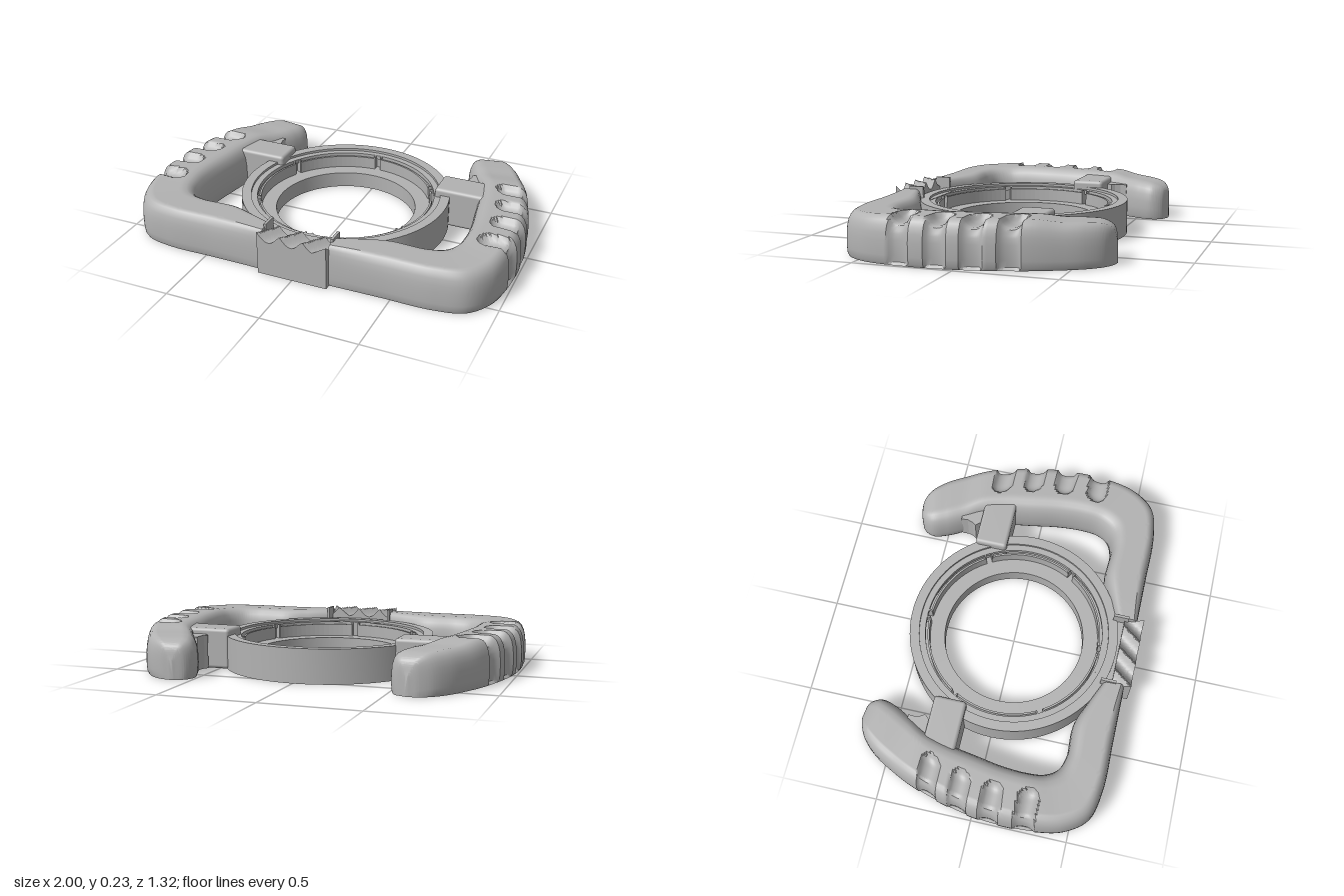
import * as THREE from 'three';
import { toCreasedNormals } from 'three/addons/utils/BufferGeometryUtils.js';
import { RoundedBoxGeometry } from 'three/addons/geometries/RoundedBoxGeometry.js';

const grey = new THREE.MeshStandardMaterial({ color: 0xb2b2b2 });
grey.name = 'plain grey';

// Handle stations: inner x, inner z, outer x, outer z, height
const STATIONS = [
  [0.18, 0.51, 0.18, 0.63, 0.22], [0.3, 0.455, 0.3, 0.63, 0.22], [0.42, 0.41, 0.46, 0.63, 0.22],
  [0.59, 0.41, 0.72, 0.628, 0.22], [0.67, 0.38, 0.87, 0.59, 0.22], [0.71, 0.32, 0.955, 0.48, 0.223],
  [0.722, 0.23, 0.99, 0.33, 0.23], [0.715, 0.1, 0.998, 0.12, 0.23], [0.69, -0.05, 0.98, -0.05, 0.23],
  [0.665, -0.2, 0.945, -0.2, 0.23], [0.63, -0.32, 0.9, -0.34, 0.228], [0.575, -0.41, 0.85, -0.45, 0.212],
  [0.528, -0.5, 0.79, -0.555, 0.206], [0.507, -0.58, 0.725, -0.625, 0.195],
  [0.535, -0.636, 0.665, -0.655, 0.165], [0.59, -0.66, 0.61, -0.664, 0.1],
];
const GROOVES = [-0.245, -0.08, 0.09, 0.27];

// Cross-section, inner side u = -1 to outer side u = 1, v = share of height
const SECTION = [[-0.93, 0], [0, 0], [0.93, 0], [0.98, 0.06], [1, 0.2], [1, 0.35], [0.995, 0.5],
  [0.97, 0.66], [0.92, 0.8], [0.84, 0.9], [0.74, 0.965]];
for (let u = 0.62; u > -0.5; u -= 0.08) SECTION.push([u, 1]);
SECTION.push([-0.6, 0.985], [-0.74, 0.94], [-0.86, 0.85], [-0.95, 0.7], [-0.99, 0.5], [-1, 0.3], [-0.98, 0.08]);

function handleGeometry(side) {
  const inner = new THREE.CatmullRomCurve3(STATIONS.map(s => new THREE.Vector3(s[0], 0, s[1])));
  const outer = new THREE.CatmullRomCurve3(STATIONS.map(s => new THREE.Vector3(s[2], s[4], s[3])));
  const steps = 220, n = SECTION.length, pos = [], idx = [];
  for (let i = 0; i <= steps; i++) {
    const a = inner.getPoint(i / steps), b = outer.getPoint(i / steps);
    for (const [u, v] of SECTION) {
      const k = (u + 1) / 2;
      let x = a.x + (b.x - a.x) * k, y = b.y * v;
      const z = a.z + (b.z - a.z) * k;
      // finger grooves: round-ended slots over the top and down the outer side
      for (const zc of GROOVES) {
        const d = Math.hypot(z - zc, Math.max(0, b.x - 0.125 - x)) / 0.05;
        if (d >= 1 || v < 0.05 || u < -0.6 || x < 0.75) continue;
        const depth = Math.sqrt(1 - d * d);
        if (v > 0.6) y -= 0.042 * depth * Math.min(1, (v - 0.6) / 0.3);
        if (u > 0.7) x -= 0.022 * depth * Math.min(1, (u - 0.7) / 0.25);
      }
      pos.push(side * x, y, z);
    }
  }
  const tri = (a, b, c) => (side > 0 ? idx.push(a, b, c) : idx.push(a, c, b));
  for (let i = 0; i < steps; i++) for (let j = 0; j < n; j++) {
    const a = i * n + j, b = i * n + (j + 1) % n;
    tri(a, a + n, b + n);
    tri(a, b + n, b);
  }
  const last = steps * n;
  for (let j = 1; j < n - 1; j++) {
    tri(0, j, j + 1);
    tri(last, last + j + 1, last + j);
  }
  const g = new THREE.BufferGeometry();
  g.setAttribute('position', new THREE.Float32BufferAttribute(pos, 3));
  g.setIndex(idx);
  return toCreasedNormals(g, 0.6);
}

// Upright extrusion of a plan outline given as [x, z]
function plate(points, y0, y1) {
  const shape = new THREE.Shape(points.map(([x, z]) => new THREE.Vector2(x, -z)));
  const g = new THREE.ExtrudeGeometry(shape, { depth: y1 - y0, bevelEnabled: false });
  return g.rotateX(-Math.PI / 2).translate(0, y0, 0);
}

// Plan outline of a curved bar between two radii
function arcBar(r0, r1, a0, a1) {
  const pts = [], n = 16;
  for (let i = 0; i <= n; i++) {
    const a = a0 + (a1 - a0) * i / n;
    pts.push([r1 * Math.cos(a), r1 * Math.sin(a)]);
  }
  for (let i = n; i >= 0; i--) {
    const a = a0 + (a1 - a0) * i / n;
    pts.push([r0 * Math.cos(a), r0 * Math.sin(a)]);
  }
  return pts;
}

// Front block with slanted scallops across its top
function scallopGeometry() {
  const w = 0.185, zFront = 0.66;
  const top = x => 0.232 - 0.048 * Math.abs(Math.sin(Math.PI * (x + w) / 0.123));
  const shape = new THREE.Shape();
  shape.moveTo(-w, 0);
  shape.lineTo(w, 0);
  for (let i = 60; i >= 0; i--) shape.lineTo(-w + 2 * w * i / 60, 0.2);
  const g = new THREE.ExtrudeGeometry(shape, { depth: 0.1, steps: 10, bevelEnabled: false });
  g.translate(0, 0, zFront - 0.1);
  const p = g.attributes.position;
  for (let i = 0; i < p.count; i++) {
    if (p.getY(i) > 0.1) p.setY(i, top(p.getX(i) - (zFront - p.getZ(i)) * 0.75));
  }
  return toCreasedNormals(g, 0.5);
}

export function createModel() {
  const model = new THREE.Group();
  model.name = 'twoHandledRingHolder';
  const add = (name, geometry, x = 0, y = 0, z = 0) => {
    const m = new THREE.Mesh(geometry, grey);
    m.name = name;
    m.position.set(x, y, z);
    model.add(m);
  };

  // stepped centre ring with an undercut inner wall and a floor ledge
  const profile = [[0.37, 0], [0.55, 0], [0.55, 0.175], [0.5, 0.175], [0.5, 0.162], [0.468, 0.162],
    [0.468, 0.14], [0.482, 0.14], [0.482, 0.085], [0.37, 0.085], [0.37, 0]]
    .map(([x, y]) => new THREE.Vector2(x, y));
  add('ring', toCreasedNormals(new THREE.LatheGeometry(profile, 96), 0.5));

  // six thin retaining tabs with upright ribs at the gaps
  for (let i = 0; i < 6; i++) {
    const a = Math.PI / 6 + i * Math.PI / 3;
    add('retainingTab', plate(arcBar(0.448, 0.458, a + 0.04, a + Math.PI / 3 - 0.04), 0.085, 0.15));
    for (const s of [-1, 1]) {
      add('tabRib', plate(arcBar(0.45, 0.483, a + s * 0.04 - 0.008, a + s * 0.04 + 0.008), 0.085, 0.161));
    }
  }

  // handles, spokes and the small hooked webs beside them
  for (const s of [1, -1]) {
    add(s > 0 ? 'leftHandle' : 'rightHandle', handleGeometry(s));
    add('spoke', new RoundedBoxGeometry(0.28, 0.21, 0.17, 3, 0.018), s * 0.585, 0.105, -0.23);
    const web = [[0.57, -0.425], [0.572, -0.39], [0.563, -0.36], [0.55, -0.342], [0.585, -0.3],
      [0.7, -0.3], [0.7, -0.425]];
    add('hookWeb', plate(web.map(([x, z]) => [s * x, z]), 0.005, 0.18));
    add('blockFlange', new THREE.BoxGeometry(0.014, 0.235, 0.08), s * 0.18, 0.1175, 0.54);
  }

  // front block joining ring and handles
  add('frontBridge', new THREE.BoxGeometry(0.366, 0.164, 0.12), 0, 0.082, 0.525);
  add('scallopedBlock', scallopGeometry());
  return model;
}
